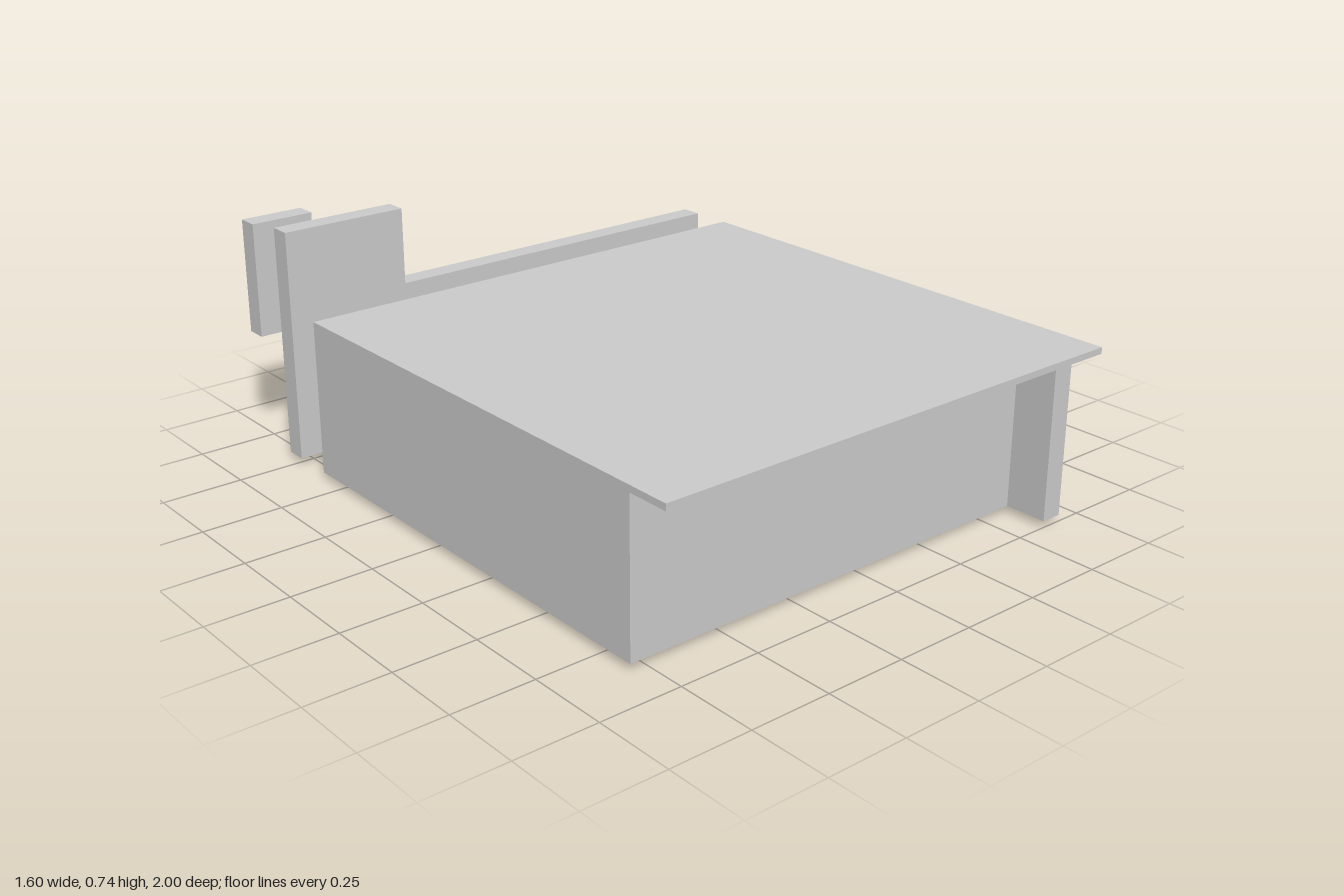
import * as THREE from 'three';

const T = 0.067; // wall thickness
const BASE = 0.02, TOP = 0.48, ROOF = 0.5;

export function createModel() {
  const house = new THREE.Group();
  house.name = 'house';
  const material = new THREE.MeshStandardMaterial({ color: 0xcccccc, flatShading: true });

  const add = (name, geometry) => {
    const mesh = new THREE.Mesh(geometry, material);
    mesh.name = name;
    house.add(mesh);
    return mesh;
  };
  // box given by its limits on each axis
  const box = (name, [x0, x1], [y0, y1], [z0, z1]) =>
    add(name, new THREE.BoxGeometry(x1 - x0, y1 - y0, z1 - z0)
      .translate((x0 + x1) / 2, (y0 + y1) / 2, (z0 + z1) / 2));
  const polygon = (points) => new THREE.Shape(points.map(([x, y]) => new THREE.Vector2(x, y)));
  const rect = (x0, x1, y0, y1) => [[x0, y0], [x1, y0], [x1, y1], [x0, y1]];
  const extrude = (shape, depth) => new THREE.ExtrudeGeometry(shape, { depth, bevelEnabled: false });

  // flat roof and the plain walls; the front wall runs past the window wall
  box('roof', [-0.8, 0.8], [TOP, ROOF], [-0.6, 1]);
  box('frontWall', [-0.8, 0.8], [BASE, TOP], [0.8, 0.8 + T]);
  box('sideWall', [-0.8, -0.8 + T], [BASE, TOP], [-0.6, 0.8]);

  // window wall, drawn in (-z, y) and turned to face +x
  const windowWall = polygon(rect(-1, 0.6, BASE, TOP));
  for (const z of [0.7, 0.5, -0.1, -0.3]) {
    windowWall.holes.push(polygon(rect(-z - 0.05, -z + 0.05, 0.187, 0.387)));
  }
  add('windowWall', extrude(windowWall, T).rotateY(Math.PI / 2).translate(0.6, 0, 0));

  // freestanding back wall with a raised end
  const backWall = polygon([
    [-0.8, BASE], [0.8, BASE], [0.8, ROOF], [-0.4, ROOF], [-0.4, 0.74], [-0.8, 0.74],
  ]);
  add('backWall', extrude(backWall, T).translate(0, 0, -0.8));

  // separate panel behind the raised end
  box('rearPanel', [-0.8, -0.6], [0.36, 0.72], [-1, -1 + T]);

  // L-shaped ground slab, drawn in (x, -z) and laid flat
  const slab = polygon([
    [0.2, 0], [0.4, 0], [0.4, 0.6], [-0.6, 0.6], [-0.6, 0.4], [0.2, 0.4],
  ]);
  add('groundSlab', extrude(slab, BASE).rotateX(-Math.PI / 2));

  return house;
}
